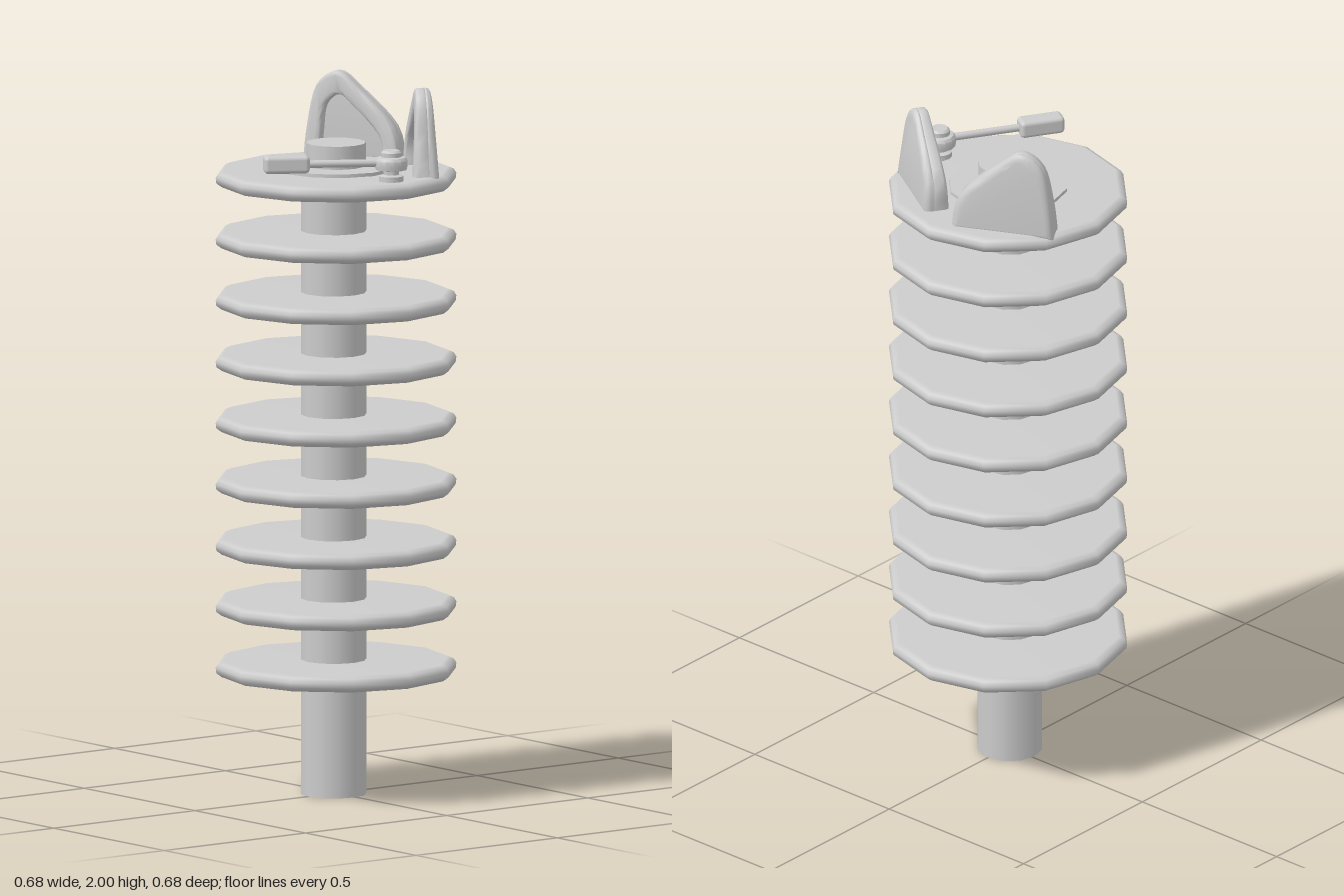
import * as THREE from 'three';
import { mergeVertices, toCreasedNormals } from 'three/addons/utils/BufferGeometryUtils.js';
import { RoundedBoxGeometry } from 'three/addons/geometries/RoundedBoxGeometry.js';

const V2 = (x, y) => new THREE.Vector2(x, y);

export function createModel() {
  const model = new THREE.Group();
  const lightGrey = new THREE.MeshStandardMaterial({ color: 0xcccccc });
  lightGrey.name = 'light grey';

  function add(name, geometry, x = 0, y = 0, z = 0, parent = model) {
    const mesh = new THREE.Mesh(geometry, lightGrey);
    mesh.name = name;
    mesh.position.set(x, y, z);
    parent.add(mesh);
    return mesh;
  }
  const lathe = (pts) => new THREE.LatheGeometry(pts.map(([r, y]) => V2(r, y)), 12);

  // Stack of twelve-sided discs with softened rims
  const discGeometry = lathe([[0, -0.022], [0.322, -0.022], [0.337, -0.011], [0.339, 0.004],
    [0.332, 0.016], [0.316, 0.023], [0, 0.023]]);
  for (let i = 0; i < 9; i++) add('disc' + (i + 1), discGeometry, 0, 0.357 + i * 0.1729, 0);

  // Centre post, label and spindle hub
  add('post', new THREE.CylinderGeometry(0.092, 0.092, 1.74, 12), 0, 0.87, 0.008);
  add('label', new THREE.CylinderGeometry(0.168, 0.168, 0.02, 12), 0, 1.763, 0);
  add('hub', new THREE.CylinderGeometry(0.084, 0.084, 0.08, 12), 0, 1.798, 0);

  // Ears: a domed back plate with a raised arch in front
  function earOutline(half, peak, height) {
    const p = [[-half, 0], [-half * 0.93, 0.4], [peak - half * 0.42, 0.83], [peak, 1],
      [peak + half * 0.42, 0.84], [half * 0.84, 0.42], [half, 0]];
    return new THREE.SplineCurve(p.map(([x, y]) => V2(x, y * height))).getPoints(24);
  }
  function earPart(points, depth, bevel, z) {
    const g = new THREE.ExtrudeGeometry(new THREE.Shape(points), {
      depth, bevelEnabled: true, bevelThickness: bevel, bevelSize: bevel,
      bevelOffset: -bevel, bevelSegments: 3,
    });
    g.translate(0, 0, z);
    // Thin the ear towards its tip
    const pos = g.attributes.position;
    for (let i = 0; i < pos.count; i++) {
      pos.setZ(i, pos.getZ(i) * (1 - 0.4 * Math.max(0, pos.getY(i)) / 0.25));
    }
    g.deleteAttribute('normal');
    g.deleteAttribute('uv');
    return toCreasedNormals(mergeVertices(g, 1e-4), 0.9);
  }
  function addEar(name, x, z, angle, half, peak) {
    const ear = new THREE.Group();
    ear.name = name;
    ear.position.set(x, 1.75, z);
    ear.rotation.y = angle;
    const outer = earOutline(half, peak, 0.25);
    const inner = earOutline(half * 0.68, peak * 0.8, 0.185).reverse();
    add(name + 'Back', earPart(outer, 0.006, 0.02, -0.018), 0, 0, 0, ear);
    add(name + 'Rim', earPart([...outer, ...inner], 0.03, 0.012, -0.005), 0, 0, 0, ear);
    model.add(ear);
  }
  addEar('rightEar', -0.155, -0.19, 0.46, 0.148, -0.05);
  addEar('leftEar', 0.165, -0.172, -0.55, 0.138, 0.028);

  // Stepped pivot of the arm
  const pivot = lathe([[0, 0], [0.035, 0], [0.035, 0.016], [0.022, 0.02], [0.022, 0.03],
    [0.044, 0.034], [0.046, 0.044], [0.046, 0.06], [0.04, 0.068], [0.029, 0.07],
    [0.029, 0.082], [0.023, 0.088], [0, 0.088]]);
  add('armPivot', toCreasedNormals(pivot, 0.7), 0.265, 1.762, 0.012);

  // Arm rod and its head, reaching forward over the disc
  const start = new THREE.Vector3(0.265, 1.815, 0.012);
  const end = new THREE.Vector3(0.135, 1.815, 0.226);
  const direction = end.clone().sub(start);
  const middle = start.clone().add(end).multiplyScalar(0.5);
  const rod = add('armRod', new THREE.CylinderGeometry(0.011, 0.011, direction.length(), 10),
    middle.x, middle.y, middle.z);
  rod.quaternion.setFromUnitVectors(new THREE.Vector3(0, 1, 0), direction.clone().normalize());
  const headGeometry = new RoundedBoxGeometry(0.054, 0.05, 0.128, 2, 0.012);
  const head = add('armHead', headGeometry, 0.11, 1.816, 0.262);
  head.rotation.y = Math.atan2(direction.x, direction.z);

  return model;
}
